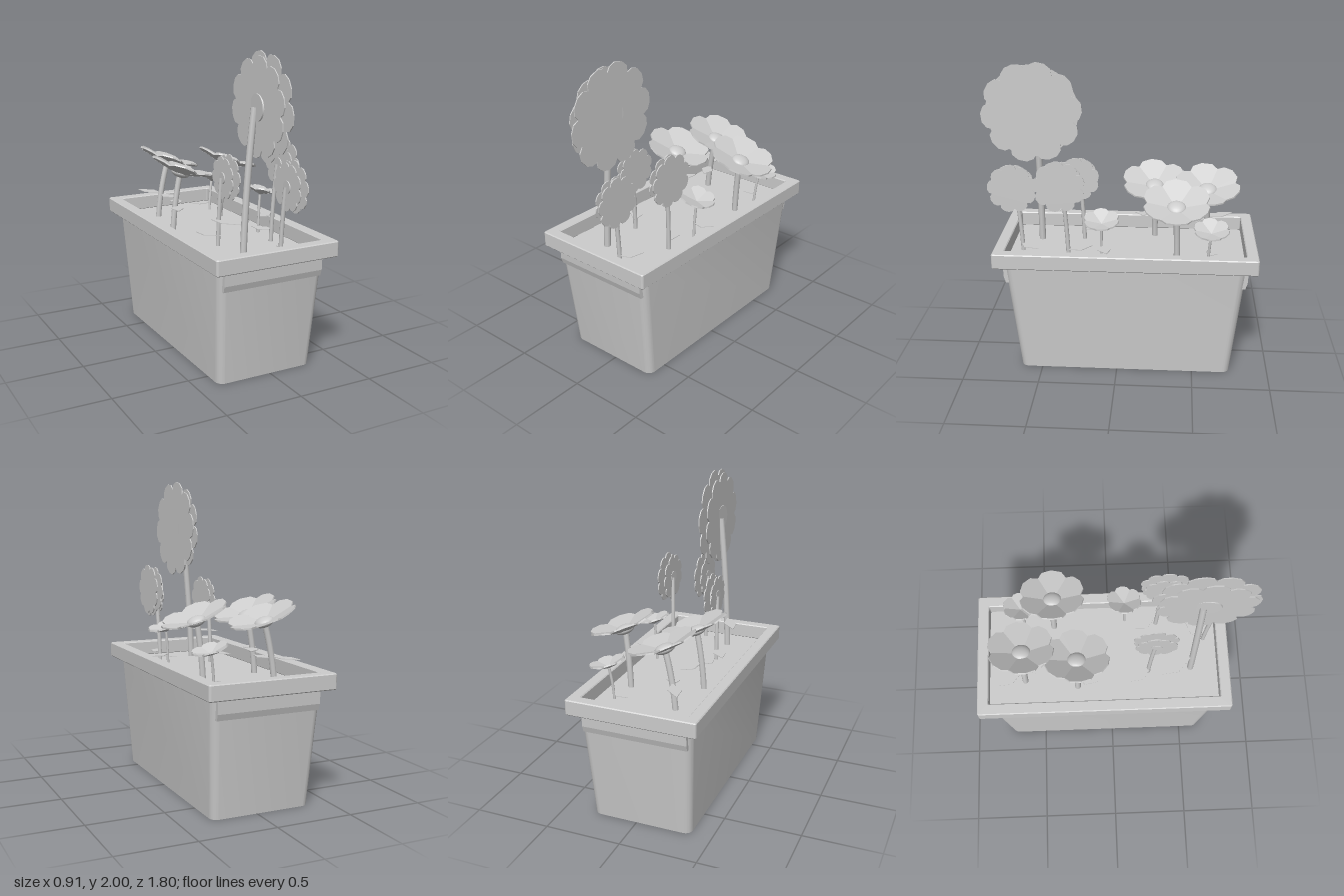
import * as THREE from 'three';
import { toCreasedNormals } from 'three/addons/utils/BufferGeometryUtils.js';

const gray = new THREE.MeshStandardMaterial({ color: 0xcccccc });
gray.name = 'light gray';
const CX = -0.032, CZ = -0.053; // centre of the planter

function add(parent, name, geometry) {
  const mesh = new THREE.Mesh(geometry, gray);
  mesh.name = name;
  parent.add(mesh);
  return mesh;
}

// Rounded rectangle outline, half sizes a and b, corner radius r
function roundRect(Type, a, b, r) {
  const s = new Type();
  s.moveTo(a, -b + r);
  s.lineTo(a, b - r);
  s.absarc(a - r, b - r, r, 0, Math.PI / 2);
  s.lineTo(-a + r, b);
  s.absarc(-a + r, b - r, r, Math.PI / 2, Math.PI);
  s.lineTo(-a, -b + r);
  s.absarc(-a + r, -b + r, r, Math.PI, Math.PI * 1.5);
  s.lineTo(a - r, -b);
  s.absarc(a - r, -b + r, r, Math.PI * 1.5, Math.PI * 2);
  return s;
}

// Extrude a flat outline upward: shape (x, y) becomes (x, -z)
function slab(shape, depth, bevel = 0) {
  const g = new THREE.ExtrudeGeometry(shape, {
    depth: depth - 2 * bevel, bevelEnabled: bevel > 0, bevelSize: bevel,
    bevelThickness: bevel, bevelOffset: -bevel, bevelSegments: 1, curveSegments: 6,
  });
  return g.translate(0, 0, bevel).rotateX(-Math.PI / 2);
}

const polygon = (pts) => new THREE.Shape(pts.map(([x, y]) => new THREE.Vector2(x, y)));

function buildPlanter(root) {
  const pot = new THREE.Group();
  pot.name = 'planter';
  pot.position.set(CX, 0, CZ);
  root.add(pot);

  // Tapered body; its top face is the soil
  const body = slab(roundRect(THREE.Shape, 0.33, 0.695, 0.05), 0.752);
  const p = body.attributes.position;
  for (let i = 0; i < p.count; i++) {
    const t = p.getY(i) / 0.752;
    p.setX(i, p.getX(i) * (1 + 0.115 * t));
    p.setZ(i, p.getZ(i) * (1 + 0.119 * t));
  }
  body.computeVertexNormals();
  add(pot, 'potBody', toCreasedNormals(body, 0.6));

  // Rim frame
  const rim = roundRect(THREE.Shape, 0.422, 0.848, 0.015);
  rim.holes.push(roundRect(THREE.Path, 0.347, 0.773, 0.006));
  add(pot, 'rim', slab(rim, 0.1, 0.006)).position.y = 0.75;

  // Grip band under the rim at both ends
  const band = new THREE.ExtrudeGeometry(
    polygon([[0.7, 0.62], [0.773, 0.62], [0.786, 0.66], [0.79, 0.752], [0.7, 0.752]]),
    { depth: 0.68, bevelEnabled: false }).rotateY(-Math.PI / 2).translate(0.34, 0, 0);
  for (const turn of [0, Math.PI]) add(pot, 'gripBand', band).rotation.y = turn;
}

function stem(root, base, top, radius) {
  const a = new THREE.Vector3(...base), b = new THREE.Vector3(...top);
  const mid = new THREE.Vector3(a.x + (b.x - a.x) * 0.2, (a.y + b.y) / 2, a.z + (b.z - a.z) * 0.2);
  add(root, 'stem', new THREE.TubeGeometry(new THREE.QuadraticBezierCurve3(a, mid, b), 8, radius, 8));
}

// Flat diamond leaf from base to tip, both given as [x, z]
function leaf(root, y, [bx, bz], [tx, tz]) {
  const dx = tx - bx, dz = tz - bz, len = Math.hypot(dx, dz);
  const g = slab(polygon([[0, 0], [len * 0.45, -0.042], [len, 0], [len * 0.55, 0.042]]), 0.004);
  const m = add(root, 'leaf', g);
  m.position.set(bx, y, bz);
  m.rotation.y = Math.atan2(-dz, dx);
}

// Open cup flower with six broad angular petals
function cupFlower(root, { pos, base, r, cup, tilt, turn, stemR }) {
  const flower = new THREE.Group();
  flower.name = 'cupFlower';
  flower.position.set(...pos);
  flower.rotation.z = -tilt;
  root.add(flower);
  const petal = slab(polygon([[0, 0], [0.72 * r, -0.42 * r], [0.93 * r, -0.27 * r], [r, 0.03 * r],
    [0.92 * r, 0.3 * r], [0.72 * r, 0.42 * r]]), 0.01);
  for (let i = 0; i < 6; i++) {
    const spoke = new THREE.Group();
    spoke.name = 'petalSpoke';
    spoke.rotation.y = turn + i * Math.PI / 3;
    add(spoke, 'petal', petal).rotation.z = cup;
    flower.add(spoke);
  }
  if (r > 0.2) {
    const dome = add(flower, 'flowerCentre', new THREE.SphereGeometry(0.062, 20, 12));
    dome.scale.y = 0.5;
    dome.position.y = 0.018;
  }
  stem(root, base, pos, stemR);
}

// Scalloped disc outline with squared-off petals
function scallop(r, n, phase) {
  const pts = [];
  for (let i = 0; i < n; i++) {
    for (const [f, k] of [[0, 0.84], [0.14, 0.95], [0.38, 1], [0.66, 1], [0.88, 0.94]]) {
      const a = phase + (i + f) * Math.PI * 2 / n;
      pts.push([Math.cos(a) * r * k, Math.sin(a) * r * k]);
    }
  }
  return polygon(pts);
}

// Sideways flower of two scalloped discs facing +x
function discFlower(root, { pos, base, r, n, stemR }) {
  const flower = new THREE.Group();
  flower.name = 'discFlower';
  flower.position.set(...pos);
  flower.rotation.z = -Math.PI / 2;
  root.add(flower);
  add(flower, 'frontPetals', slab(scallop(r, n, 0.1), 0.007)).position.y = 0.018;
  add(flower, 'backPetals', slab(scallop(r * 0.92, n, 0.1 + Math.PI / n), 0.007)).position.y = -0.024;
  const centre = add(flower, 'flowerCentre', new THREE.CylinderGeometry(r * 0.29, r * 0.25, 0.048, 20));
  centre.rotation.x = 0.06;
  centre.position.y = -0.004;
  stem(root, base, [pos[0] - 0.025, pos[1], pos[2] - r * 0.08], stemR);
}

export function createModel() {
  const root = new THREE.Group();
  root.name = 'flowerPlanter';
  buildPlanter(root);

  // Sideways flowers: one tall, three small
  discFlower(root, { pos: [-0.048, 1.67, 0.573], base: [-0.14, 0.74, 0.54], r: 0.33, n: 10, stemR: 0.022 });
  discFlower(root, { pos: [0.093, 1.2, 0.693], base: [0.064, 0.74, 0.64], r: 0.162, n: 9, stemR: 0.014 });
  discFlower(root, { pos: [0.232, 1.267, 0.37], base: [0.19, 0.74, 0.32], r: 0.168, n: 9, stemR: 0.014 });
  discFlower(root, { pos: [-0.126, 1.2, 0.29], base: [-0.16, 0.74, 0.25], r: 0.148, n: 9, stemR: 0.014 });

  // Large cup flowers
  const large = { r: 0.23, cup: 0.29, tilt: 0.36, stemR: 0.02 };
  cupFlower(root, { ...large, pos: [-0.134, 1.12, -0.58], base: [-0.2, 0.74, -0.585], turn: 0.15 });
  cupFlower(root, { ...large, pos: [-0.2, 1.12, -0.225], base: [-0.25, 0.74, -0.23], turn: 0.1 });
  cupFlower(root, { ...large, pos: [0.225, 1.12, -0.375], base: [0.19, 0.74, -0.385], turn: 0.0 });

  // Small cup flowers
  const small = { r: 0.125, cup: 0.35, tilt: 0.28, stemR: 0.009 };
  cupFlower(root, { ...small, pos: [0.235, 0.96, -0.6], base: [0.21, 0.74, -0.585], turn: 0.1 });
  cupFlower(root, { ...small, pos: [0.235, 1.01, 0.1], base: [0.22, 0.74, 0.105], turn: 0.1 });

  // Leaves: height, base, tip
  const leaves = [
    [0.953, [-0.14, 0.53], [-0.25, 0.33]],
    [0.82, [-0.15, 0.27], [-0.25, 0.12]],
    [0.8, [0.06, 0.655], [0.16, 0.525]],
    [0.82, [0.21, 0.32], [0.13, 0.17]],
    [0.92, [-0.18, -0.585], [-0.28, -0.76]],
    [0.91, [-0.18, -0.585], [-0.13, -0.44]],
    [0.92, [-0.23, -0.23], [-0.15, -0.38]],
    [0.91, [-0.23, -0.23], [-0.27, -0.09]],
    [0.8, [0.21, -0.585], [0.09, -0.64]],
    [0.858, [0.22, 0.105], [0.35, 0.06]],
  ];
  for (const l of leaves) leaf(root, ...l);
  return root;
}
